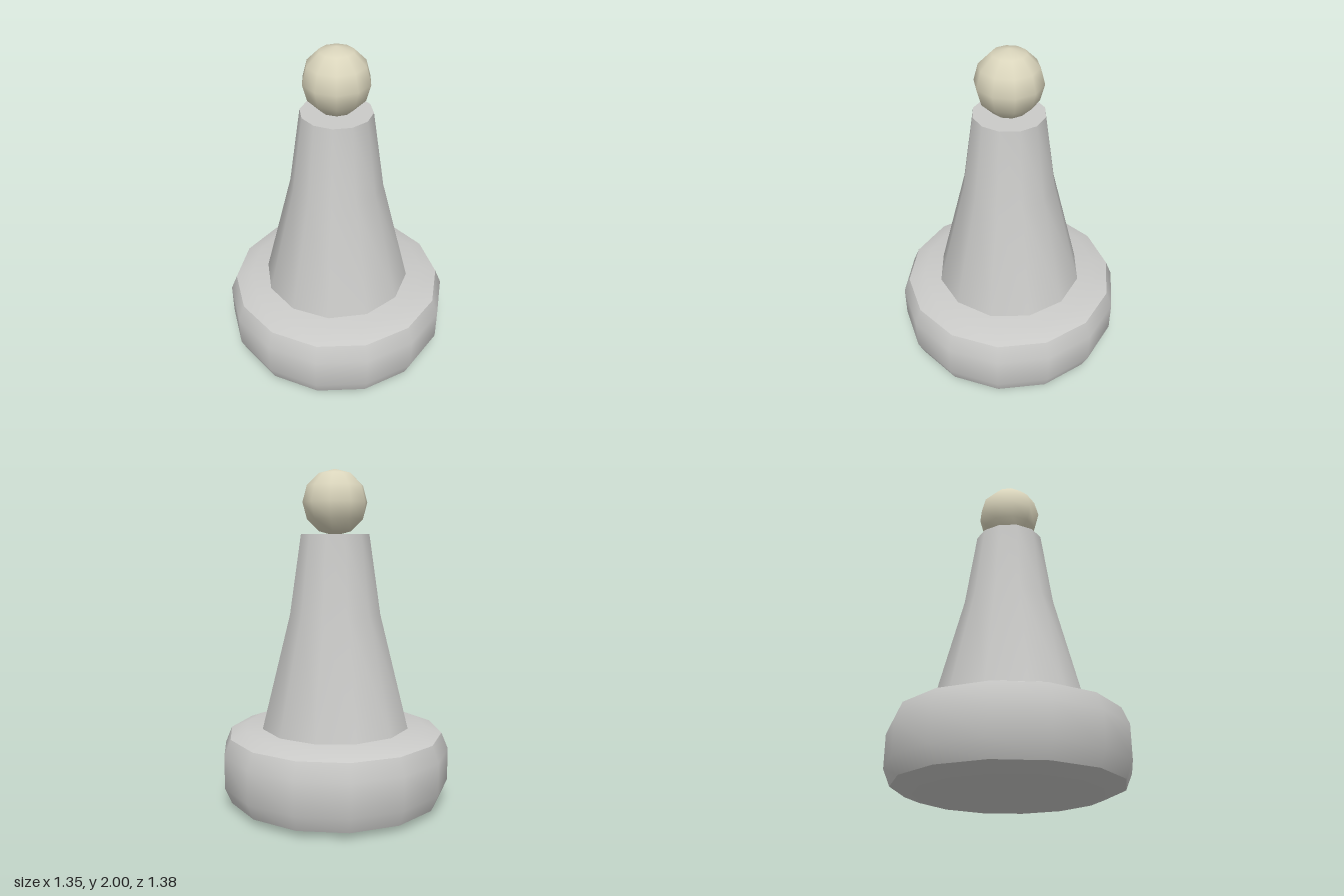
import * as THREE from 'three';
import { toCreasedNormals } from 'three/addons/utils/BufferGeometryUtils.js';

const grey = new THREE.MeshStandardMaterial({ color: 0xcacac8 });
grey.name = 'light grey';
const cream = new THREE.MeshStandardMaterial({ color: 0xdad5bc });
cream.name = 'cream';

// Turned part: profile of [radius, height] from bottom to top, creased at sharp bends
function turned(name, profile, sides, material) {
  const points = profile.map(([r, y]) => new THREE.Vector2(r, y));
  const geometry = toCreasedNormals(new THREE.LatheGeometry(points, sides), THREE.MathUtils.degToRad(36));
  const mesh = new THREE.Mesh(geometry, material);
  mesh.name = name;
  return mesh;
}

export function createModel() {
  const group = new THREE.Group();
  group.name = 'knobbedPeg';

  // Wide rounded foot
  group.add(turned('base', [
    [0, 0], [0.55, 0], [0.65, 0.04], [0.69, 0.135],
    [0.69, 0.33], [0.65, 0.427], [0.55, 0.465], [0, 0.465],
  ], 14, grey));

  // Tapered body with a flat top
  group.add(turned('body', [
    [0.45, 0.465], [0.277, 1.15], [0.208, 1.62], [0, 1.62],
  ], 12, grey));

  // Round knob, resting on the body
  const knob = new THREE.Mesh(new THREE.SphereGeometry(0.194, 10, 6, Math.PI / 2), cream);
  knob.name = 'knob';
  knob.position.y = 1.806;
  group.add(knob);

  return group;
}
